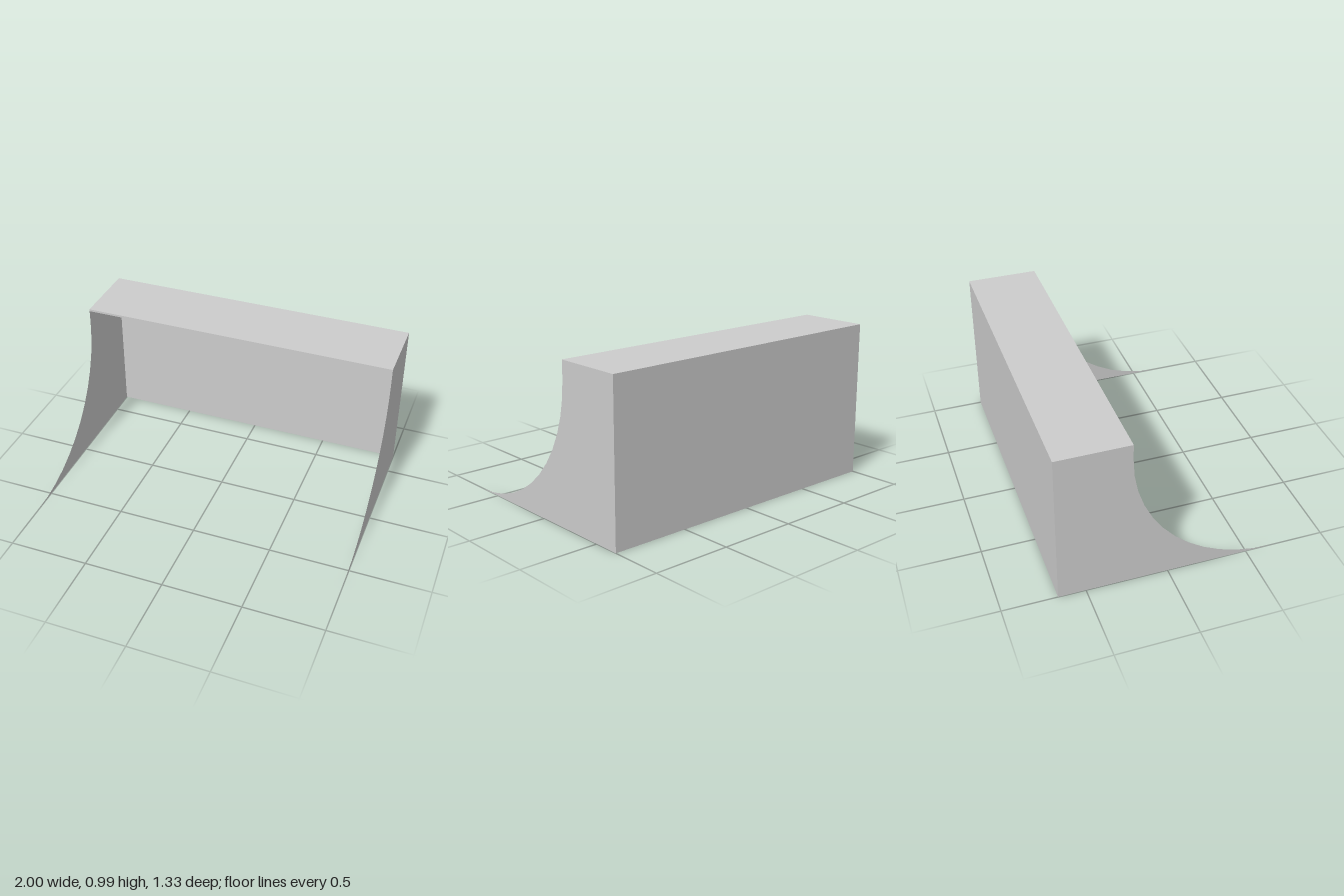
import * as THREE from 'three';

// Quarter-pipe ramp shell: two curved cheeks, back wall, deck and a thin lip
export function createModel() {
  const model = new THREE.Group();
  const grey = new THREE.MeshStandardMaterial({ color: 0xcccccc, side: THREE.DoubleSide });
  grey.name = 'light grey';

  const back = -0.667, toe = 0.667, edge = -0.222, height = 0.988;
  const radius = toe - edge, lipHeight = 0.014;

  const add = (name, geometry, x, y, z) => {
    const mesh = new THREE.Mesh(geometry, grey);
    mesh.name = name;
    mesh.position.set(x, y, z);
    model.add(mesh);
    return mesh;
  };

  // Cheek profile in (z, y): a concave quarter circle in 12 straight steps
  const profile = [new THREE.Vector2(back, 0)];
  for (let i = 0; i <= 12; i++) {
    const a = (i / 12) * Math.PI / 2;
    profile.push(new THREE.Vector2(toe - radius * Math.sin(a), radius * (1 - Math.cos(a))));
  }
  profile.push(new THREE.Vector2(edge, height), new THREE.Vector2(back, height));

  for (const side of [-1, 1]) {
    const cheek = new THREE.ShapeGeometry(new THREE.Shape(profile));
    cheek.rotateY(-Math.PI / 2); // shape x becomes z
    add(side > 0 ? 'leftSide' : 'rightSide', cheek, side, 0, 0);
  }

  // Back wall faces outwards
  const wall = new THREE.PlaneGeometry(2, height);
  wall.rotateY(Math.PI);
  add('backWall', wall, 0, height / 2, back);

  // Flat deck on top
  const deck = new THREE.PlaneGeometry(2, edge - back);
  deck.rotateX(-Math.PI / 2);
  add('deck', deck, 0, height, (edge + back) / 2);

  // Narrow strip along the front of the deck
  add('lip', new THREE.PlaneGeometry(2, lipHeight), 0, height - lipHeight / 2, edge);

  return model;
}
